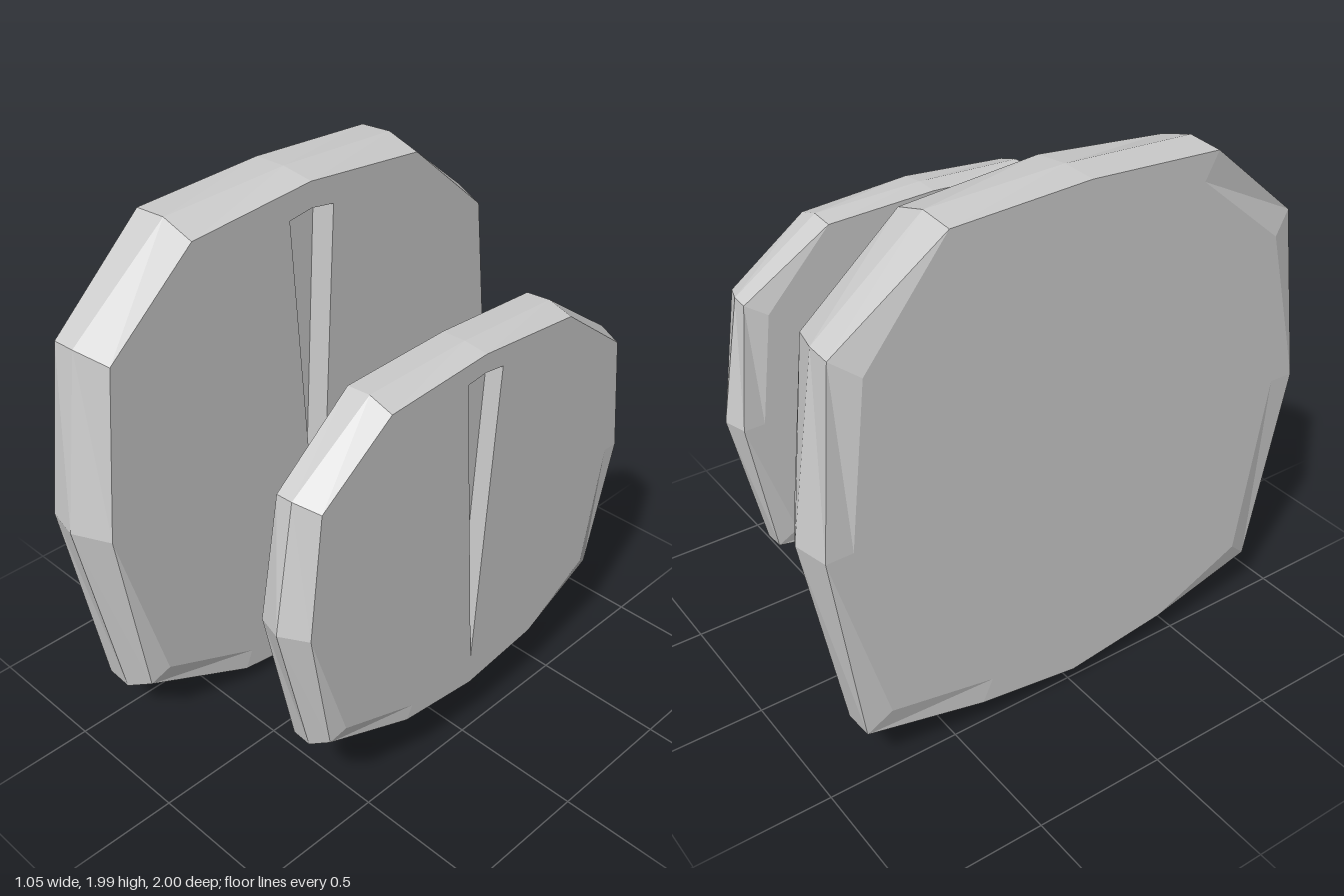
import * as THREE from 'three';

const material = new THREE.MeshStandardMaterial({ color: 0xcccccc, flatShading: true });
const CENTRE_Y = 1;

// Right half of an outline, top to bottom, mirrored into a full clockwise ring
function ring(half) {
  const left = half.slice(1, -1).reverse().map(([x, y, z]) => [-x, y, z]);
  return [...half, ...left];
}

// Quads between two rings; faces outward when b lies in front of a
function band(a, b) {
  const pos = [];
  a.forEach((p, i) => {
    const j = (i + 1) % a.length;
    pos.push(...p, ...b[i], ...a[j], ...b[i], ...b[j], ...a[j]);
  });
  const g = new THREE.BufferGeometry();
  g.setAttribute('position', new THREE.Float32BufferAttribute(pos, 3));
  g.computeVertexNormals();
  return g;
}

const toPoints = (r) => r.map(([x, y]) => new THREE.Vector2(x, y));

// Flat plate filling a ring, with an optional hole
function plate(r, z, hole) {
  const shape = new THREE.Shape(toPoints(r));
  if (hole) shape.holes.push(new THREE.Path(toPoints(hole)));
  return new THREE.ShapeGeometry(shape).translate(0, 0, z);
}

// Shrinks a ring towards the centre and flattens it at depth z
const inset = (r, s, z) => r.map(([x, y]) => [x * s, CENTRE_Y + (y - CENTRE_Y) * s, z]);
const atDepth = (r, z) => r.map(([x, y]) => [x, y, z]);

function createPanel() {
  const D = 0.135, grooveDepth = 0.1;

  // Rims: the corners dip slightly below the flat faces
  const backRim = ring([[0, 1.98, -D], [0.51, 1.955, -D], [0.9, 1.64, -0.095], [0.97, 0.985, -D],
    [0.85, 0.205, -0.11], [0.4, 0.12, -D], [0, 0.065, -D]]);
  const midRim = ring([[0, 1.985, 0], [0.51, 1.965, 0], [0.9, 1.645, 0], [1, 0.985, 0],
    [0.855, 0.205, 0], [0.4, 0.08, 0], [0, 0, 0]]);
  const frontRim = ring([[0, 1.97, D], [0.51, 1.925, D], [0.86, 1.62, D], [0.93, 0.98, D],
    [0.82, 0.26, 0.105], [0.4, 0.08, D], [0, 0.02, D]]);
  const backFace = inset(backRim, 0.9, -D);
  const frontFace = inset(frontRim, 0.92, D);

  // Tapered groove in the front face
  const groove = ring([[0, 1.875, D], [0.1, 1.86, D], [0, 0.185, D]]);
  const grooveFloor = atDepth(groove, D - grooveDepth);

  const parts = {
    backBorder: band(backFace, backRim),
    backBevel: band(backRim, midRim),
    frontBevel: band(midRim, frontRim),
    frontBorder: band(frontRim, frontFace),
    backPlate: plate(backFace, D).rotateY(Math.PI).translate(0, 0, 0),
    frontPlate: plate(frontFace, D, groove),
    grooveWalls: band(groove, grooveFloor),
    grooveFloor: plate(groove, D - grooveDepth),
  };

  const panel = new THREE.Group();
  for (const [name, geometry] of Object.entries(parts)) {
    geometry.rotateY(Math.PI / 2); // grooved face looks towards +x
    const mesh = new THREE.Mesh(geometry, material);
    mesh.name = name;
    panel.add(mesh);
  }
  return panel;
}

export function createModel() {
  const model = new THREE.Group();
  model.name = 'panelPair';

  const large = createPanel();
  large.name = 'largePanel';
  large.position.x = -0.395;

  const small = createPanel();
  small.name = 'smallPanel';
  small.scale.set(0.69, 0.705, 0.83);
  small.position.set(0.428, 0.245, 0);

  model.add(large, small);
  return model;
}
